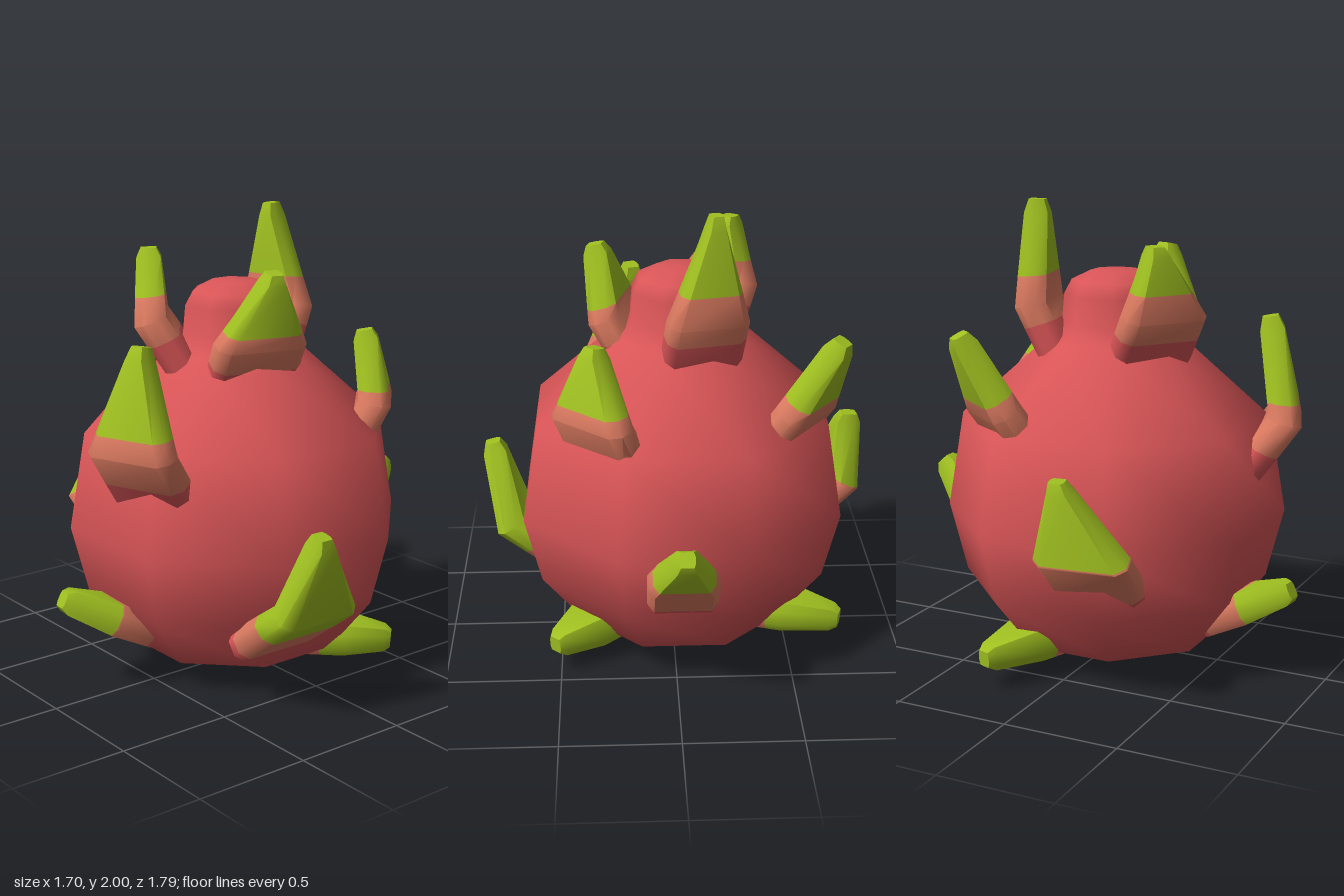
import * as THREE from 'three';
import { toCreasedNormals } from 'three/addons/utils/BufferGeometryUtils.js';

const mat = (name, color) => {
  const m = new THREE.MeshStandardMaterial({ color });
  m.name = name;
  return m;
};

// Chamfered rectangle cross-section, counter-clockwise
const SECTION = [[1, -0.45], [1, 0.45], [0.8, 1], [-0.8, 1], [-1, 0.45], [-1, -0.45], [-0.8, -1], [0.8, -1]];
const THICK = 0.07;

// Bent scale running base -> bend -> tip. Its broad side faces the given yaw (degrees);
// the base lies inset towards the fruit and drop below the bend.
// red and green are the path positions (0 base, 1 bend, 2 tip) that bound the salmon band.
function leafGeometry({ bend, tip, yaw, inset, drop, half = 0.2, tipHalf = 0.05, red = 0.1, green = 1.18 }) {
  const f = THREE.MathUtils.degToRad(yaw);
  const W = new THREE.Vector3(Math.cos(f), 0, -Math.sin(f));
  const m = new THREE.Vector3(...bend), t = new THREE.Vector3(...tip);
  const b = m.clone().add(new THREE.Vector3(-Math.sin(f) * inset, -drop, -Math.cos(f) * inset));
  const low = m.clone().sub(b).normalize();
  const high = t.clone().sub(m).normalize();
  const steps = [0, red, green, 1, 1.87, 2].sort((p, q) => p - q);
  const pos = [], index = [], n = SECTION.length;
  for (const s of steps) {
    const c = s < 1 ? b.clone().lerp(m, s) : m.clone().lerp(t, s - 1);
    const T = low.clone().lerp(high, Math.min(1, s < 1 ? s * 0.5 : s - 0.5));
    const N = T.cross(W).normalize();
    const k = THREE.MathUtils.clamp((s - 1) / 0.87, 0, 1);
    const end = s === 2 ? 0.65 : 1;
    const hw = THREE.MathUtils.lerp(half, tipHalf, k) * end;
    const ht = THREE.MathUtils.lerp(THICK, 0.052, k) * end;
    for (const [u, v] of SECTION) {
      const p = c.clone().addScaledVector(W, u * hw).addScaledVector(N, v * ht);
      pos.push(p.x, p.y, p.z);
    }
  }
  const geo = new THREE.BufferGeometry();
  const addGroup = (start, material) => geo.addGroup(start, index.length - start, material);
  // Base cap
  for (let j = 1; j < n - 1; j++) index.push(0, j + 1, j);
  addGroup(0, 0);
  // Sides, coloured band by band
  for (let i = 0; i < steps.length - 1; i++) {
    const start = index.length;
    for (let j = 0; j < n; j++) {
      const a = i * n + j, c = i * n + (j + 1) % n;
      index.push(a, c, c + n, a, c + n, a + n);
    }
    addGroup(start, steps[i] < red ? 0 : steps[i] < green ? 1 : 2);
  }
  // Tip cap
  const start = index.length, o = (steps.length - 1) * n;
  for (let j = 1; j < n - 1; j++) index.push(o, o + j, o + j + 1);
  addGroup(start, 2);
  geo.setAttribute('position', new THREE.Float32BufferAttribute(pos, 3));
  geo.setIndex(index);
  return toCreasedNormals(geo, 0.85);
}

const LEAVES = [
  { name: 'frontLeaf', bend: [0.19, 1.09, 0.72], tip: [0.165, 1.52, 0.65], yaw: 20, inset: 0.19, drop: 0.25, red: 0.5 },
  { name: 'crownBackLeaf', bend: [-0.135, 1.56, -0.3], tip: [-0.165, 2, -0.285], yaw: 193, inset: 0.1, drop: 0.2, half: 0.17, tipHalf: 0.04, red: 0.6, green: 1.28 },
  { name: 'crownFrontLeaf', bend: [-0.22, 1.55, 0.33], tip: [-0.265, 1.84, 0.31], yaw: -37, inset: 0.14, drop: 0.21, half: 0.185, red: 0.6, green: 1.35 },
  { name: 'crownLeftLeaf', bend: [0.255, 1.48, 0.115], tip: [0.325, 1.78, 0.1], yaw: 76, inset: 0.09, drop: 0.15, red: 0.4 },
  { name: 'upperRightLeaf', bend: [-0.55, 1.17, -0.29], tip: [-0.68, 1.49, -0.37], yaw: 233, inset: 0.12, drop: 0.17, half: 0.18, red: 0.4 },
  { name: 'upperBackLeaf', bend: [0.345, 1.19, -0.46], tip: [0.33, 1.49, -0.4], yaw: 136, inset: 0.09, drop: 0.17 },
  { name: 'rightSideLeaf', bend: [-0.765, 0.65, 0.23], tip: [-0.8, 0.97, 0.14], yaw: -83, inset: 0.22, drop: 0.19, green: 1.02 },
  { name: 'leftSideLeaf', bend: [0.73, 0.47, 0.215], tip: [0.81, 0.81, 0.25], yaw: 90, inset: 0.29, drop: 0.21, green: 0.6 },
  { name: 'lowerFrontLeaf', bend: [-0.08, 0.32, 0.68], tip: [-0.12, 0.42, 0.88], yaw: -6, inset: 0.18, drop: 0.09, half: 0.13, green: 1.03 },
  { name: 'lowerBackLeaf', bend: [-0.02, 0.57, -0.69], tip: [-0.025, 0.765, -0.87], yaw: 180, inset: 0.11, drop: 0.13, half: 0.15 },
  { name: 'bottomRightLeaf', bend: [-0.5, 0.155, -0.17], tip: [-0.735, 0.135, -0.25], yaw: 250, inset: 0.17, drop: 0, half: 0.125, green: 0.65 },
  { name: 'bottomLeftLeaf', bend: [0.38, 0.14, -0.27], tip: [0.525, 0.125, -0.415], yaw: 135, inset: 0.19, drop: 0, half: 0.12, green: 0.45 },
];

export function createModel() {
  const group = new THREE.Group();
  const red = mat('fruit red', 0xd95557);
  const salmon = mat('salmon', 0xdb7a60);
  const green = mat('leaf green', 0x9fbf20);

  // Eight-sided fruit body with a short neck; the profile gives half-widths across the flats
  const profile = [[0, 0], [0.44, 0.11], [0.615, 0.35], [0.685, 0.65], [0.62, 1.07], [0.27, 1.41], [0.215, 1.48], [0.205, 1.6], [0.175, 1.66], [0.1, 1.7], [0, 1.705]];
  const flats = Math.cos(Math.PI / 8);
  const bodyGeo = new THREE.LatheGeometry(profile.map(([r, y]) => new THREE.Vector2(r / flats, y)), 8, Math.PI / 8);
  const body = new THREE.Mesh(bodyGeo, red);
  body.name = 'fruitBody';
  body.position.set(-0.035, 0, 0.02);
  group.add(body);

  // Scales around the fruit
  for (const leaf of LEAVES) {
    const mesh = new THREE.Mesh(leafGeometry(leaf), [red, salmon, green]);
    mesh.name = leaf.name;
    group.add(mesh);
  }
  return group;
}
